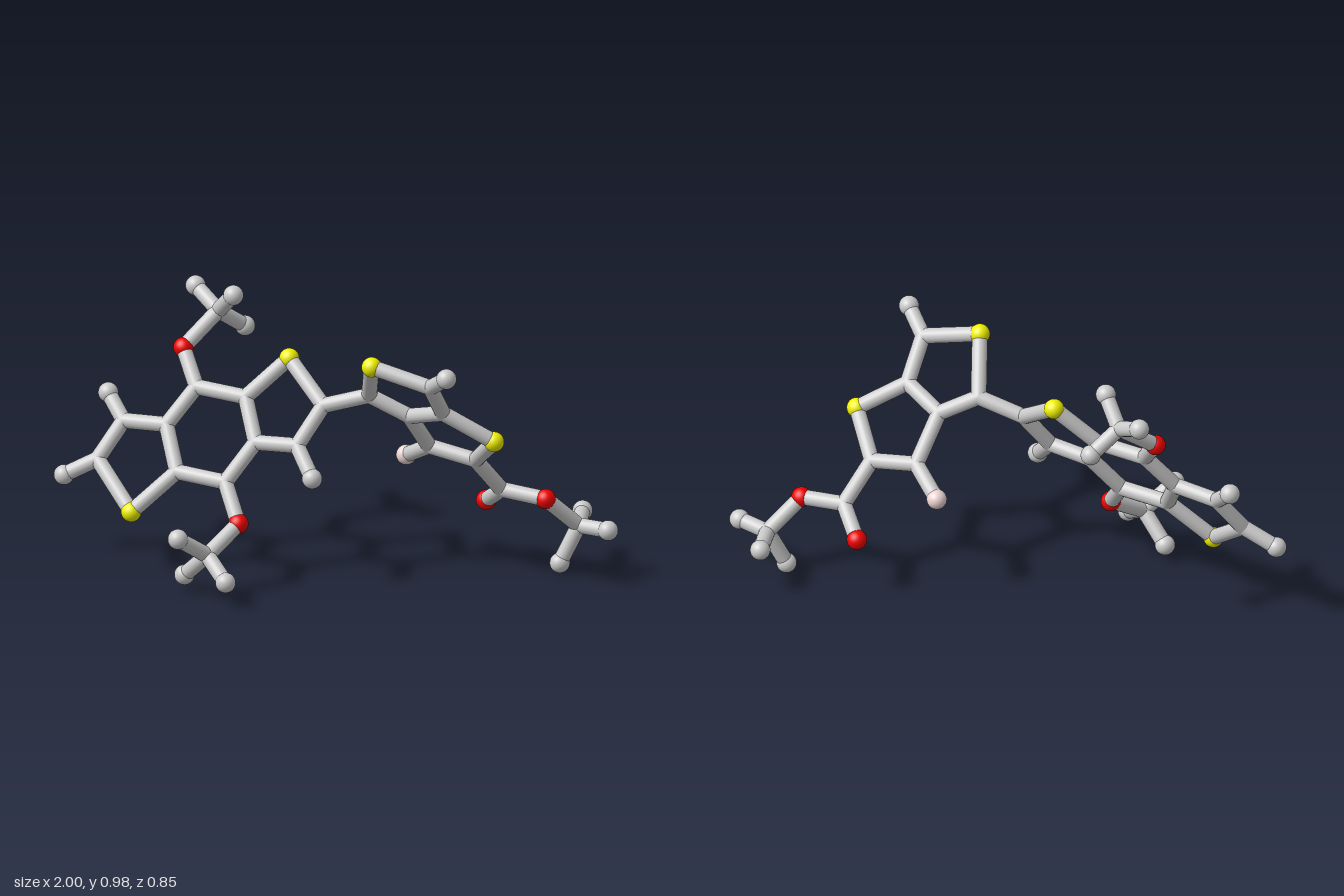
import * as THREE from 'three';

const STICK = 0.028, BALL = 0.036;
const COLORS = { C: 0xcccccc, H: 0xcccccc, S: 0xf0f000, O: 0xf00000, F: 0xecd4d4 };
const NAMES = { C: 'joint', H: 'endBall', S: 'yellowBall', O: 'redBall', F: 'pinkBall' };
const materials = {};
for (const k in COLORS) materials[k] = new THREE.MeshStandardMaterial({ color: COLORS[k] });
const ball = new THREE.SphereGeometry(BALL, 24, 16);
const joint = new THREE.SphereGeometry(STICK, 24, 16);
const rod = new THREE.CylinderGeometry(STICK, STICK, 1, 20, 1, true);

// The two flat ring systems lie on tilted planes: z from x and y
const corePlane = (x, y) => 0.349 * x - 0.63 * y + 0.455;
const wingPlane = (x, y) => 0.374 * x + 0.903 * y - 0.629;
const flat = (plane, table) => Object.fromEntries(
  Object.entries(table).map(([k, [x, y]]) => [k, [x, y, plane(x, y)]]));

// Atom keys start with their kind; chains list the atoms joined by rods
const parts = {
  coreRings: {
    atoms: flat(corePlane, {
      H1: [-0.97, 0.30], H2: [-0.83, 0.572], H3: [-0.05, 0.418],
      Ca: [-0.85, 0.365], Cb: [-0.765, 0.495], Cc: [-0.605, 0.505], Cd: [-0.553, 0.368],
      S1: [-0.71, 0.223], Ctop: [-0.505, 0.635], Ce: [-0.32, 0.63], Cf: [-0.27, 0.498],
      Cbot: [-0.37, 0.362], S2: [-0.17, 0.77], Ch: [-0.03, 0.645], Ci: [-0.115, 0.51],
    }),
    chains: ['Ca Cb Cc Cd S1 Ca', 'Cc Ctop Ce Cf Cbot Cd', 'Ce S2 Ch Ci Cf', 'H1 Ca', 'H2 Cb', 'H3 Ci'],
  },
  wingRings: {
    atoms: flat(wingPlane, {
      Cj: [0.135, 0.695], S3: [0.167, 0.858], Ck: [0.38, 0.803], H4: [0.45, 0.868],
      Cl: [0.41, 0.67], Cm: [0.275, 0.62], S4: [0.587, 0.562], Cn: [0.50, 0.44],
      Co: [0.33, 0.47], F1: [0.233, 0.398],
    }),
    chains: ['Ch Cj S3 Ck Cl Cm Cj', 'Cl S4 Cn Co Cm', 'H4 Ck', 'F1 Co'],
  },
  upperBranch: {
    atoms: {
      O1: [-0.565, 0.748, -0.212], Cu: [-0.455, 0.857, -0.31],
      H5: [-0.39, 0.944, -0.232], H6: [-0.548, 0.917, -0.393], H7: [-0.37, 0.78, -0.382],
    },
    chains: ['Ctop O1 Cu H5', 'H6 Cu H7'],
  },
  lowerBranch: {
    atoms: {
      O2: [-0.31, 0.243, 0.193], Cv: [-0.405, 0.157, 0.298],
      H8: [-0.498, 0.24, 0.378], H9: [-0.495, 0.06, 0.24], H10: [-0.327, 0.09, 0.388],
    },
    chains: ['Cbot O2 Cv H8', 'H9 Cv H10'],
  },
  endBranch: {
    atoms: {
      Cw: [0.58, 0.303, -0.133], O3: [0.51, 0.225, -0.235], O4: [0.742, 0.288, -0.097],
      Cx: [0.85, 0.171, -0.165], H11: [0.962, 0.176, -0.113],
      H12: [0.786, 0.037, -0.14], H13: [0.843, 0.178, -0.305],
    },
    chains: ['Cn Cw O4 Cx H11', 'Cw O3', 'H12 Cx H13'],
  },
};

// A rod stretched between two points
function makeRod(a, b) {
  const dir = b.clone().sub(a);
  const mesh = new THREE.Mesh(rod, materials.C);
  mesh.name = 'rod';
  mesh.position.copy(a).lerp(b, 0.5);
  mesh.scale.y = dir.length();
  mesh.quaternion.setFromUnitVectors(new THREE.Vector3(0, 1, 0), dir.normalize());
  return mesh;
}

export function createModel() {
  const model = new THREE.Group();
  model.name = 'ballAndStickModel';
  const points = {};
  for (const [name, { atoms, chains }] of Object.entries(parts)) {
    const group = new THREE.Group();
    group.name = name;
    // Balls and rounded joints
    for (const [key, p] of Object.entries(atoms)) {
      const kind = key[0];
      const mesh = new THREE.Mesh(kind === 'C' ? joint : ball, materials[kind]);
      mesh.name = NAMES[kind];
      mesh.position.copy(points[key] = new THREE.Vector3(...p));
      group.add(mesh);
    }
    // Rods along each chain
    for (const chain of chains) {
      const keys = chain.split(' ');
      for (let i = 1; i < keys.length; i++) group.add(makeRod(points[keys[i - 1]], points[keys[i]]));
    }
    model.add(group);
  }
  return model;
}
